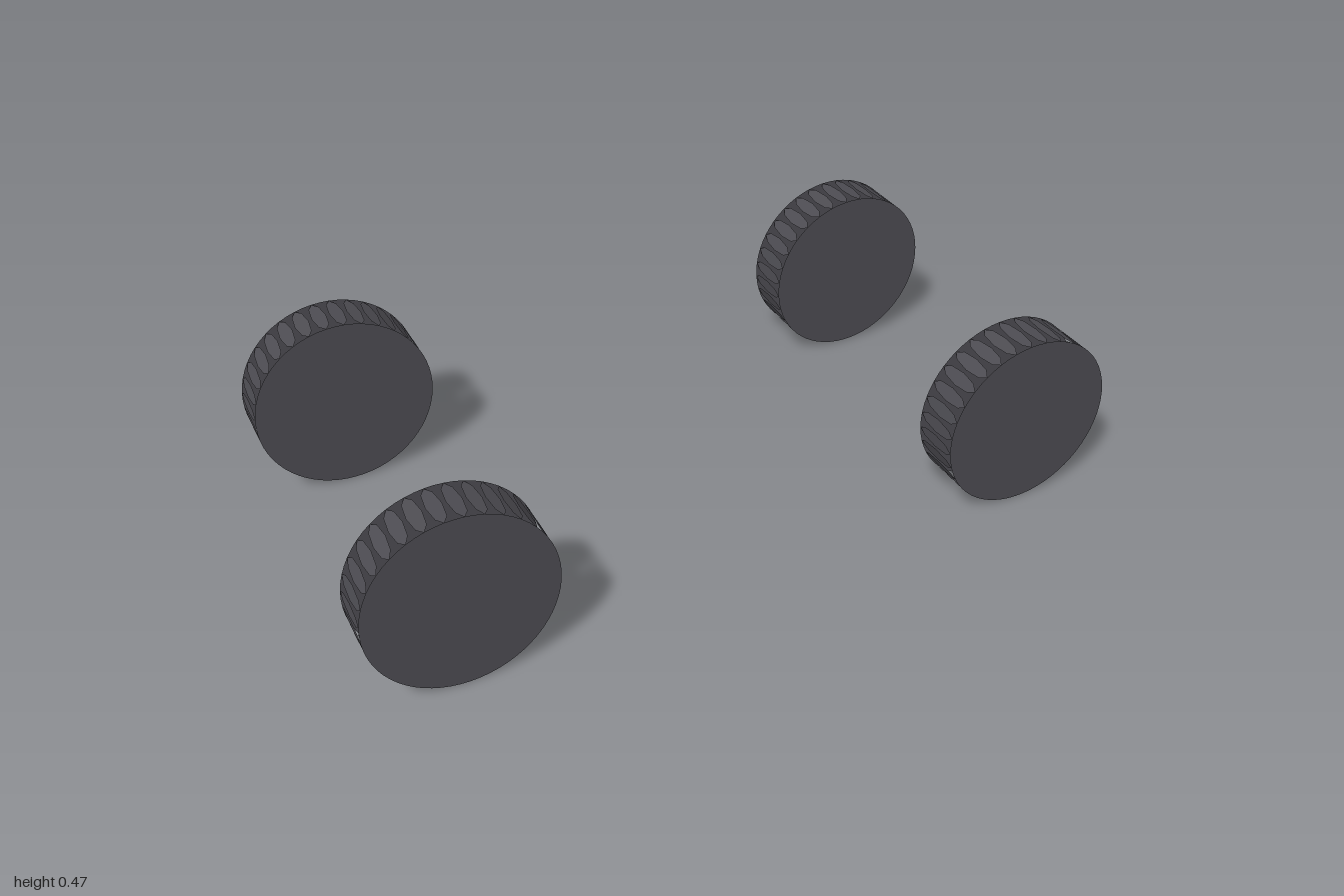
import * as THREE from 'three';

const R = 0.236;      // wheel radius
const HALF = 0.066;   // half the wheel width
const PADS = 32;      // tread pads round each wheel

const rubber = new THREE.MeshStandardMaterial({ color: 0x4d4c52, side: THREE.DoubleSide });

// Long eight-sided tread pad, flat, facing outward along +z before it is placed
function padGeometry() {
  const geometry = new THREE.CircleGeometry(1, 8);
  geometry.scale(0.019, HALF, 1);
  geometry.rotateX(-Math.PI / 2);   // long side along z, facing +y
  geometry.translate(0, R - 0.0008, 0);
  return geometry;
}

function createWheel(name) {
  const wheel = new THREE.Group();
  wheel.name = name;

  // Flat side discs
  const disc = new THREE.CircleGeometry(R, 64);
  for (const side of [1, -1]) {
    const wall = new THREE.Mesh(disc, rubber);
    wall.name = side > 0 ? 'frontDisc' : 'backDisc';
    wall.position.z = side * HALF;
    if (side < 0) wall.rotation.y = Math.PI;
    wheel.add(wall);
  }

  // Ring of separate pads with open gaps between them
  const tread = new THREE.Group();
  tread.name = 'tread';
  const geometry = padGeometry();
  for (let i = 0; i < PADS; i++) {
    const pad = new THREE.Mesh(geometry, rubber);
    pad.name = 'treadPad';
    pad.rotation.z = ((i + 0.5) / PADS) * Math.PI * 2;
    tread.add(pad);
  }
  wheel.add(tread);
  return wheel;
}

export function createModel() {
  const model = new THREE.Group();
  model.name = 'wheelSet';
  for (const x of [1, -1]) {
    for (const z of [1, -1]) {
      const wheel = createWheel((z > 0 ? 'front' : 'back') + (x > 0 ? 'Left' : 'Right') + 'Wheel');
      wheel.position.set(x * (1 - R), R, z * 0.431);
      model.add(wheel);
    }
  }
  return model;
}
